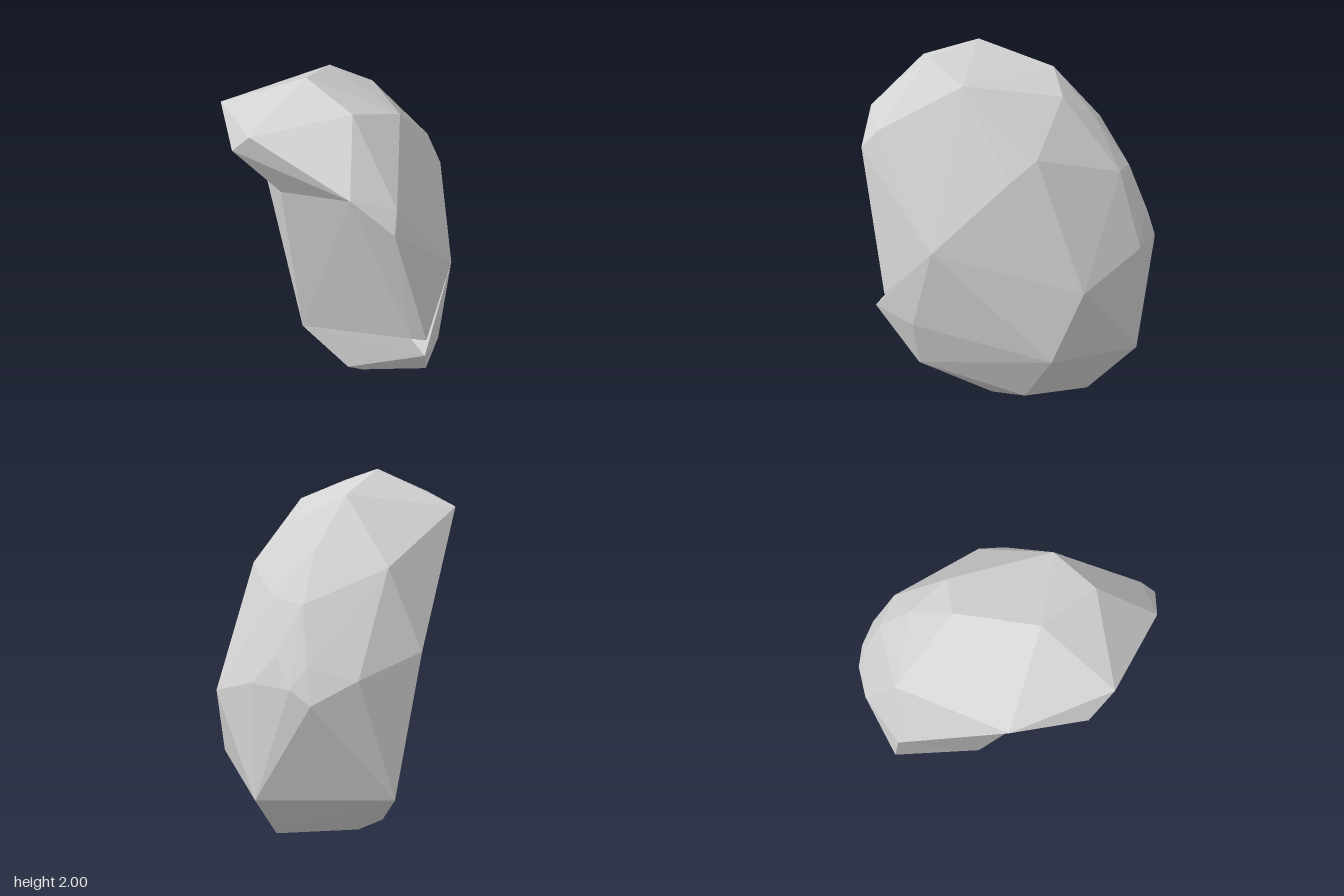
import * as THREE from 'three';
import { ConvexGeometry } from 'three/addons/geometries/ConvexGeometry.js';

const V = (x, y, z) => new THREE.Vector3(x, y, z);

// Corners shared by more than one lump
const crown = V(0, 2, 0.26), crownLeft = V(0.32, 1.94, 0.24), crownBack = V(-0.25, 1.875, -0.06);
const shoulderBack = V(0.31, 1.84, -0.05), shoulderRidge = V(0.64, 1.605, 0.24);
const browLeft = V(0.56, 1.69, 0.44);
const browRight = V(-0.74, 1.16, 0.09), browMid = V(0.04, 1.47, 0.46), cheek = V(-0.62, 1.55, -0.03);
const toe = V(-0.31, 0.13, 0.14), foot = V(0.115, 0, 0);
const ledgeFront = V(0.67, 0.775, 0.14);
const flank = V(0.6, 1.07, -0.18), flankLow = V(0.66, 0.65, -0.07), hip = V(0.615, 0.4, -0.04);

export function createModel() {
  const group = new THREE.Group();
  group.name = 'rock';
  const stone = new THREE.MeshStandardMaterial({ color: 0xd3d3d3 });
  stone.name = 'light grey stone';

  const lump = (name, points) => {
    const mesh = new THREE.Mesh(new ConvexGeometry(points), stone);
    mesh.name = name;
    group.add(mesh);
  };

  // Main boulder with a split front face and a rounded back
  lump('boulder', [
    crown, crownLeft, crownBack, shoulderBack, shoulderRidge, browLeft, V(0.7, 1.52, 0.3),
    browRight, browMid, cheek, toe, foot, ledgeFront, V(0.73, 0.79, 0.09), flank, flankLow, hip,
    // upper back
    V(-0.15, 1.765, -0.26), V(-0.36, 1.63, -0.28), V(0.13, 1.52, -0.41), V(0.27, 1.425, -0.38),
    V(-0.34, 1.4, -0.5), V(-0.49, 1.385, -0.41), V(-0.48, 1.153, -0.55), V(-0.61, 1.11, -0.45),
    // middle back
    V(-0.74, 1.057, -0.25), V(-0.59, 1.01, -0.53), V(-0.67, 0.945, -0.46),
    V(-0.38, 1.01, -0.635), V(0.03, 0.88, -0.67),
    // lower back and underside
    V(0.16, 0.5, -0.59), V(-0.4, 0.42, -0.635), V(-0.765, 0.45, -0.06), V(0.19, 0.22, -0.41),
    V(-0.22, 0.135, -0.45), V(-0.42, 0.16, -0.07), V(-0.23, 0.08, -0.05),
  ]);

  // Overhanging brow at the top of the front
  lump('overhang', [
    crown, crownLeft, crownBack, shoulderBack, shoulderRidge, browLeft,
    browRight, browMid, cheek,
    V(0.11, 1.875, 0.65), V(-0.36, 1.81, 0.52), V(-0.03, 1.745, 0.665),
  ]);

  // Sloping ledge along the lower edge of the front
  lump('ledge', [
    V(0.765, 0.72, 0.125), V(0.09, 0.06, 0.09), ledgeFront, toe, foot, hip, flankLow, flank,
  ]);

  return group;
}
